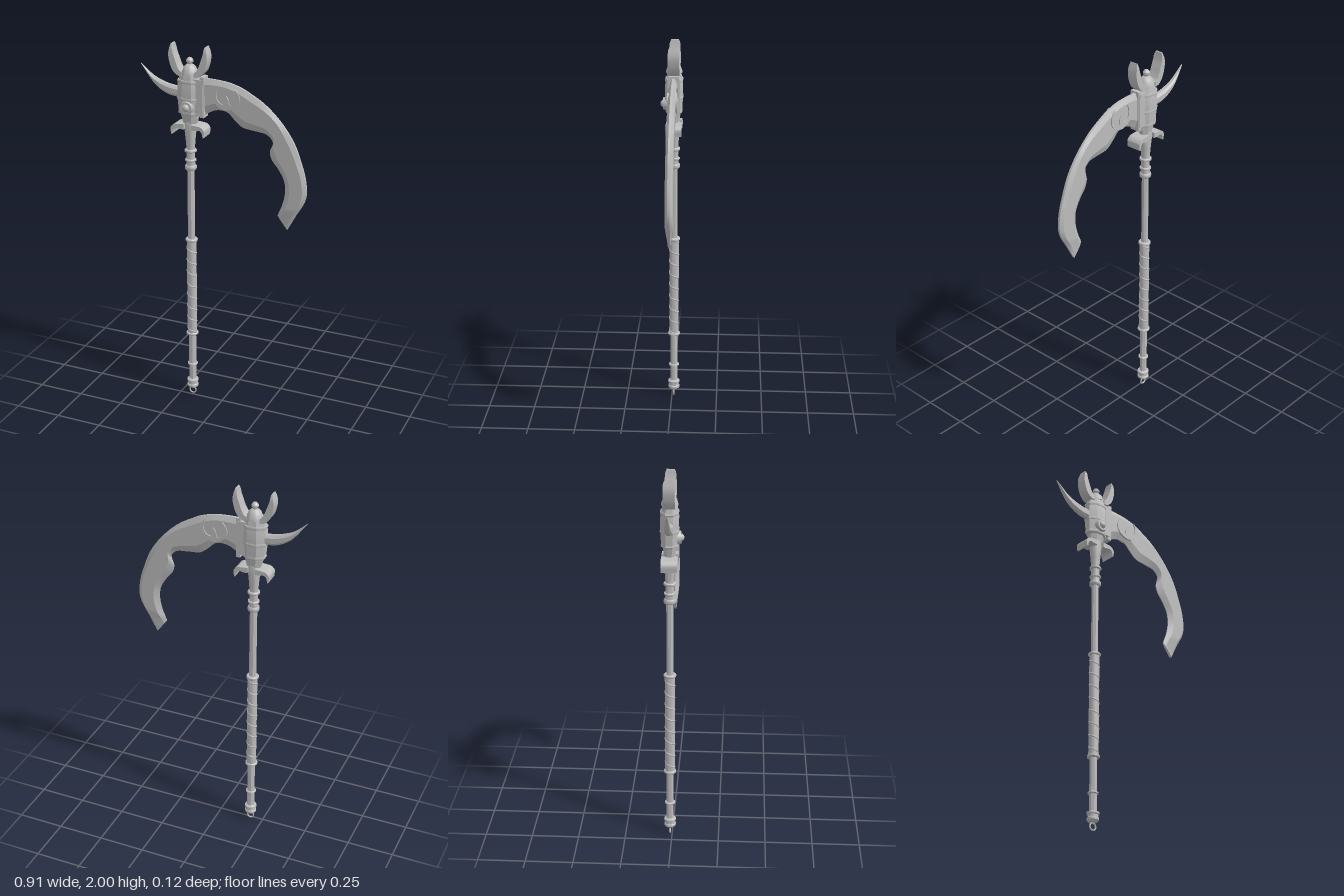
import * as THREE from 'three';
import { toCreasedNormals } from 'three/addons/utils/BufferGeometryUtils.js';

const CX = -0.181, CZ = -0.011; // axis of the shaft

export function createModel() {
  const root = new THREE.Group();
  root.name = 'scythe';
  const steel = new THREE.MeshStandardMaterial({ color: 0xbcbcbc });
  steel.name = 'steel';

  const add = (name, geo, x = CX, y = 0, z = CZ) => {
    const m = new THREE.Mesh(geo, steel);
    m.name = name;
    m.position.set(x, y, z);
    root.add(m);
    return m;
  };
  const v2 = (p) => p.map(([x, y]) => new THREE.Vector2(x, y));
  // Turned part from [radius, height] pairs, listed upwards
  const lathe = (name, pts, seg = 16, sz = 1) => {
    const g = new THREE.LatheGeometry(v2(pts), seg);
    g.rotateY(Math.PI / seg);
    g.scale(1, 1, sz);
    return add(name, toCreasedNormals(g, 0.6));
  };
  // Solid between two edge curves; section(t) gives [fraction across, half thickness]
  const loft = (name, outer, inner, section, n = 40) => {
    const curve = (p) => new THREE.CatmullRomCurve3(p.map(([x, y]) => new THREE.Vector3(x, y, 0)));
    const a = curve(outer), b = curve(inner), pos = [], idx = [];
    let k = 0;
    for (let i = 0; i <= n; i++) {
      const t = i / n, A = a.getPoint(t), B = b.getPoint(t), s = section(t);
      const ring = [...s, ...s.slice().reverse().map(([f, z]) => [f, -z])];
      k = ring.length;
      for (const [f, z] of ring) {
        const p = A.clone().lerp(B, f);
        pos.push(p.x, p.y, z);
      }
    }
    for (let i = 0; i < n; i++) for (let j = 0; j < k; j++) {
      const p = i * k + j, q = i * k + (j + 1) % k;
      idx.push(p, q, p + k, q, q + k, p + k);
    }
    for (let j = 1; j < k - 1; j++) {
      idx.push(0, j + 1, j, n * k, n * k + j, n * k + j + 1);
    }
    // Turn the faces outward whichever way the edges run
    const P = (i) => new THREE.Vector3().fromArray(pos, i * 3);
    let vol = 0;
    for (let i = 0; i < idx.length; i += 3) vol += P(idx[i]).dot(P(idx[i + 1]).cross(P(idx[i + 2])));
    if (vol < 0) idx.reverse();
    const g = new THREE.BufferGeometry();
    g.setAttribute('position', new THREE.Float32BufferAttribute(pos, 3));
    g.setIndex(idx);
    return add(name, toCreasedNormals(g, 0.3), 0);
  };
  const mirror = (pts, s) => pts.map(([x, y]) => [CX + s * x, y]);

  // Shaft, pommel and hanging ring
  lathe('shaft', [[0.02, 0.08], [0.02, 0.4], [0.019, 0.9], [0.019, 1.36]], 8);
  lathe('pommel', [[0, 0.042], [0.022, 0.044], [0.031, 0.053], [0.031, 0.064], [0.027, 0.068],
    [0.027, 0.08], [0.032, 0.084], [0.032, 0.094], [0.019, 0.1]]);
  add('hangingRing', new THREE.TorusGeometry(0.018, 0.004, 8, 24), CX, 0.022);

  // Collars along the shaft
  for (const [y, r, h] of [[0.192, 0.028, 0.012], [0.382, 0.033, 0.016], [0.938, 0.033, 0.016],
    [1.348, 0.031, 0.026], [1.388, 0.03, 0.014], [1.44, 0.032, 0.016]]) {
    lathe('collar', [[0.015, y - h / 2], [r - 0.004, y - h / 2], [r, y - h / 4],
      [r, y + h / 4], [r - 0.004, y + h / 2], [0.015, y + h / 2]]);
  }

  // Grip with a low spiral binding
  lathe('grip', [[0.026, 0.385], [0.026, 0.935]]);
  const helix = [];
  for (let i = 0; i <= 120; i++) {
    const a = (i / 15) * Math.PI * 2;
    helix.push(new THREE.Vector3(Math.cos(a) * 0.0235, 0.39 + 0.54 * i / 120, Math.sin(a) * 0.0235));
  }
  add('gripBinding', new THREE.TubeGeometry(new THREE.CatmullRomCurve3(helix), 320, 0.005, 8));

  // Flared neck and eight-sided head
  lathe('neck', [[0.025, 1.34], [0.022, 1.4], [0.022, 1.45], [0.026, 1.5], [0.033, 1.57], [0.03, 1.6]], 12);
  lathe('head', [[0, 1.565], [0.034, 1.57], [0.05, 1.635], [0.06, 1.642], [0.067, 1.72],
    [0.067, 1.79], [0.052, 1.85], [0, 1.85]], 8, 0.73);
  for (const [y, r] of [[1.648, 0.064], [1.722, 0.071], [1.812, 0.069]]) {
    lathe('headBand', [[0.05, y - 0.008], [r - 0.003, y - 0.008], [r, y],
      [r - 0.003, y + 0.008], [0.05, y + 0.008]], 8, 0.73);
  }
  lathe('cap', [[0.043, 1.848], [0.041, 1.862], [0.036, 1.872], [0.032, 1.884], [0.02, 1.896], [0.012, 1.9],
    [0.012, 1.904], [0.018, 1.911], [0.018, 1.921], [0.01, 1.932], [0, 1.936]]);

  // Round stud on the front of the head
  const seat = new THREE.CylinderGeometry(0.031, 0.036, 0.02, 20);
  seat.rotateX(Math.PI / 2);
  add('studSeat', seat, CX, 1.683, 0.036);
  add('stud', new THREE.SphereGeometry(0.021, 16, 12), CX, 1.683, 0.04);

  // Paired horns above and curled guards below
  for (const s of [-1, 1]) {
    loft('horn',
      mirror([[0.035, 1.838], [0.06, 1.843], [0.085, 1.868], [0.101, 1.91], [0.106, 1.95], [0.095, 2.0]], s),
      mirror([[0.035, 1.862], [0.045, 1.868], [0.058, 1.89], [0.071, 1.925], [0.083, 1.96], [0.09, 1.998]], s),
      (t) => {
        const z = t < 0.85 ? 0.031 - 0.003 * t : 0.0285 - 0.4 * (t - 0.85) ** 2;
        return [[0, z], [1, z]];
      }, 20);
    loft('guard',
      mirror([[0.02, 1.59], [0.05, 1.588], [0.077, 1.583], [0.093, 1.565], [0.091, 1.53]], s),
      mirror([[0.02, 1.562], [0.045, 1.562], [0.066, 1.566], [0.079, 1.556], [0.086, 1.529]], s),
      () => [[0, 0.041], [1, 0.041]], 16);
  }

  // Rear spike, thinning quickly near its tip
  loft('rearSpike',
    [[-0.2, 1.77], [-0.24, 1.773], [-0.32, 1.787], [-0.385, 1.815], [-0.455, 1.874]],
    [[-0.2, 1.722], [-0.24, 1.722], [-0.3, 1.73], [-0.37, 1.768], [-0.453, 1.87]],
    (t) => {
      const z = 0.02 - 0.017 * t ** 4;
      return [[0, z * 0.5], [0.25, z], [0.75, z], [1, z * 0.5]];
    }, 24);

  // Socket plates holding the blade
  add('bladeSocket', new THREE.BoxGeometry(0.05, 0.18, 0.062), -0.126, 1.74);
  add('socketPlate', new THREE.BoxGeometry(0.022, 0.212, 0.054), -0.105, 1.738);

  // Curved blade with a notched inner edge
  loft('blade',
    [[-0.11, 1.836], [-0.035, 1.834], [0.037, 1.826], [0.105, 1.806], [0.158, 1.779], [0.213, 1.747],
      [0.265, 1.706], [0.313, 1.658], [0.356, 1.604], [0.394, 1.54], [0.425, 1.46], [0.448, 1.386],
      [0.458, 1.3], [0.447, 1.248], [0.402, 1.168], [0.36, 1.088]],
    [[-0.11, 1.636], [-0.035, 1.675], [0.024, 1.672], [0.066, 1.635], [0.109, 1.603], [0.178, 1.593],
      [0.241, 1.582], [0.273, 1.545], [0.257, 1.497], [0.268, 1.455], [0.305, 1.407], [0.337, 1.349],
      [0.342, 1.28], [0.326, 1.211], [0.315, 1.185], [0.305, 1.158]],
    (t) => {
      const z = t > 0.9 ? 0.019 - (t - 0.9) * 0.12 : 0.019;
      return [[0, 0.006], [0.16, z], [0.76, z], [1, 0.002]];
    }, 75);

  // Crescent relief with a small prong, on both faces of the blade
  const crescent = new THREE.Shape();
  crescent.moveTo(-0.045, 0.052);
  crescent.bezierCurveTo(-0.095, 0.01, -0.075, -0.055, 0, -0.064);
  crescent.bezierCurveTo(0.075, -0.055, 0.095, 0.01, 0.045, 0.052);
  crescent.bezierCurveTo(0.066, 0.0, 0.05, -0.032, 0.016, -0.036);
  crescent.lineTo(0.012, -0.008);
  crescent.lineTo(0, 0.012);
  crescent.lineTo(-0.012, -0.008);
  crescent.lineTo(-0.016, -0.036);
  crescent.bezierCurveTo(-0.05, -0.032, -0.066, 0.0, -0.045, 0.052);
  const relief = new THREE.ExtrudeGeometry(crescent, { depth: 0.01, bevelEnabled: false, curveSegments: 12 });
  for (const s of [1, -1]) {
    const m = add('crescentRelief', relief, 0.028, 1.752, CZ + s * 0.015);
    if (s < 0) m.rotation.y = Math.PI;
  }
  return root;
}
